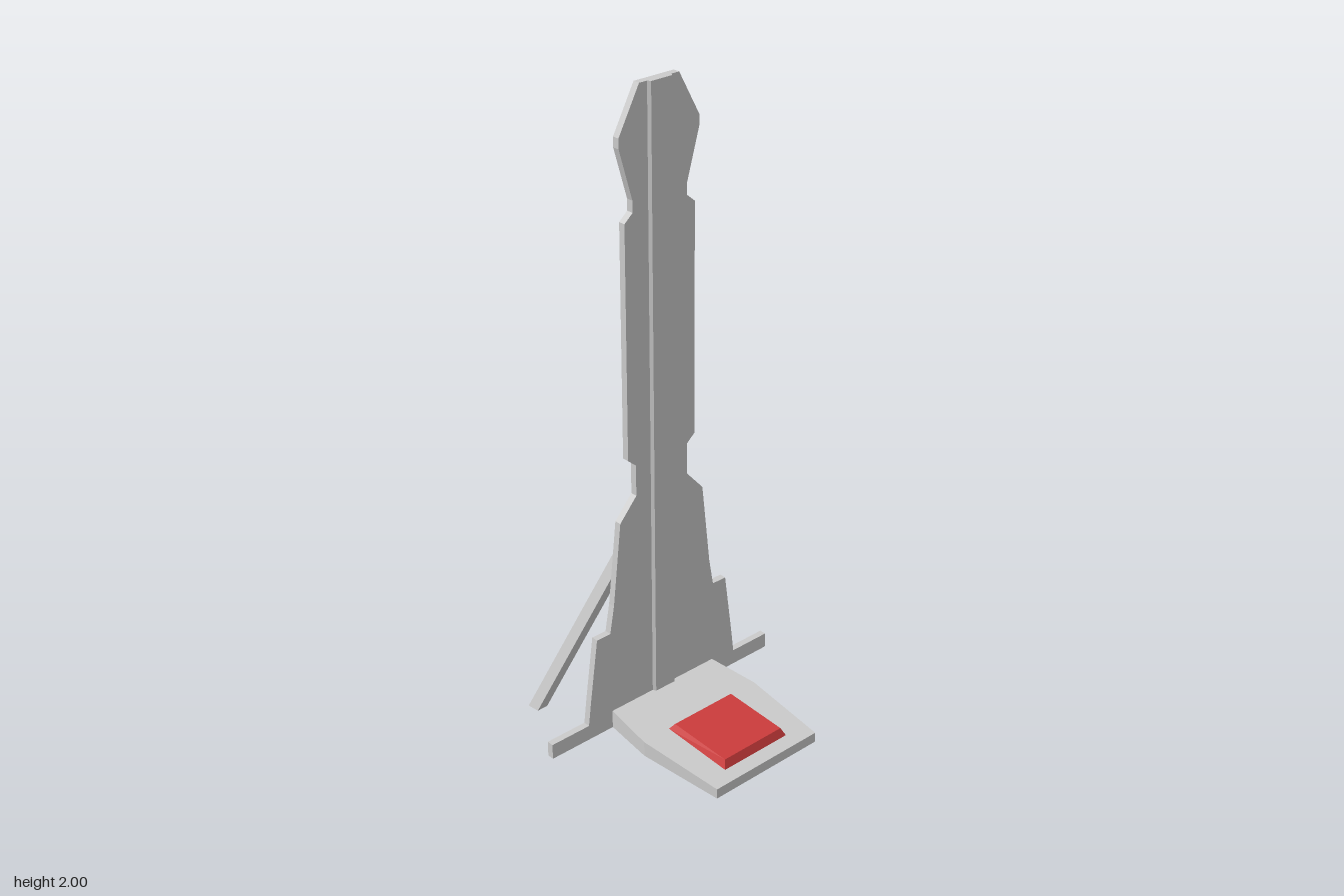
import * as THREE from 'three';
import { ConvexGeometry } from 'three/addons/geometries/ConvexGeometry.js';

export function createModel() {
  const model = new THREE.Group();
  model.name = 'towerWithPlatform';
  const grey = new THREE.MeshStandardMaterial({ color: 0xcccccc, flatShading: true });
  const red = new THREE.MeshStandardMaterial({ color: 0xcc3c3c, flatShading: true });

  const add = (name, geometry, material = grey) => {
    const mesh = new THREE.Mesh(geometry, material);
    mesh.name = name;
    model.add(mesh);
  };
  // Straight-sided solid from its corner points
  const solid = (corners) => new ConvexGeometry(corners.map((c) => new THREE.Vector3(...c)));

  // Tall stepped backboard: mirrored half outline (z, y), extruded along x
  const half = [
    [0.436, 0], [0.436, 0.05], [0.296, 0.05], [0.286, 0.13], [0.257, 0.34], [0.206, 0.34],
    [0.19, 0.43], [0.16, 0.7], [0.098, 0.77], [0.098, 0.87], [0.127, 0.895], [0.127, 1.62],
    [0.098, 1.645], [0.098, 1.68], [0.143, 1.835], [0.143, 1.865], [0.07, 2],
  ];
  const outline = [...half, ...half.map(([z, y]) => [-z, y]).reverse()];
  const boardShape = new THREE.Shape(outline.map(([z, y]) => new THREE.Vector2(z, y)));
  const board = new THREE.ExtrudeGeometry(boardShape, { depth: 0.022, bevelEnabled: false });
  board.rotateY(-Math.PI / 2).translate(-0.103, 0, 0);
  add('backboard', board);

  // Slim chamfered rail up the middle of the board
  const rail = [];
  for (const y of [0, 2]) for (const s of [-1, 1]) rail.push([-0.104, y, s * 0.043], [-0.093, y, s * 0.037]);
  add('centreRail', solid(rail));

  // Platform, widest part-way out and sloping down away from the board
  const slope = (x) => 0.06 - (x + 0.103) * (0.027 / 0.461);
  const platform = [];
  for (const [x, z] of [[-0.103, 0.204], [0.067, 0.225], [0.358, 0.2]])
    for (const s of [-1, 1]) platform.push([x, 0, s * z], [x, slope(x), s * z]);
  add('platform', solid(platform));

  // Bevelled red pad lying on the slope
  const pad = [];
  for (const s of [-1, 1])
    pad.push([0.067, slope(0.067), s * 0.127], [0.31, slope(0.31), s * 0.124],
      [0.08, 0.068, s * 0.114], [0.297, 0.06, s * 0.113]);
  add('redPad', solid(pad), red);

  // Splayed side braces behind the board
  for (const s of [1, -1]) {
    add(s > 0 ? 'leftBrace' : 'rightBrace', solid([
      [-0.36, 0, s * 0.29], [-0.36, 0, s * 0.326], [-0.32, 0, s * 0.322], [-0.32, 0, s * 0.286],
      [-0.125, 0.665, s * 0.075], [-0.125, 0.665, s * 0.111], [-0.125, 0.555, s * 0.143], [-0.125, 0.555, s * 0.107],
    ]));
  }

  // Shorter middle brace
  const middle = [];
  for (const z of [-0.017, 0.017])
    middle.push([-0.293, 0, z], [-0.257, 0, z], [-0.125, 0.48, z], [-0.125, 0.375, z]);
  add('middleBrace', solid(middle));

  return model;
}
